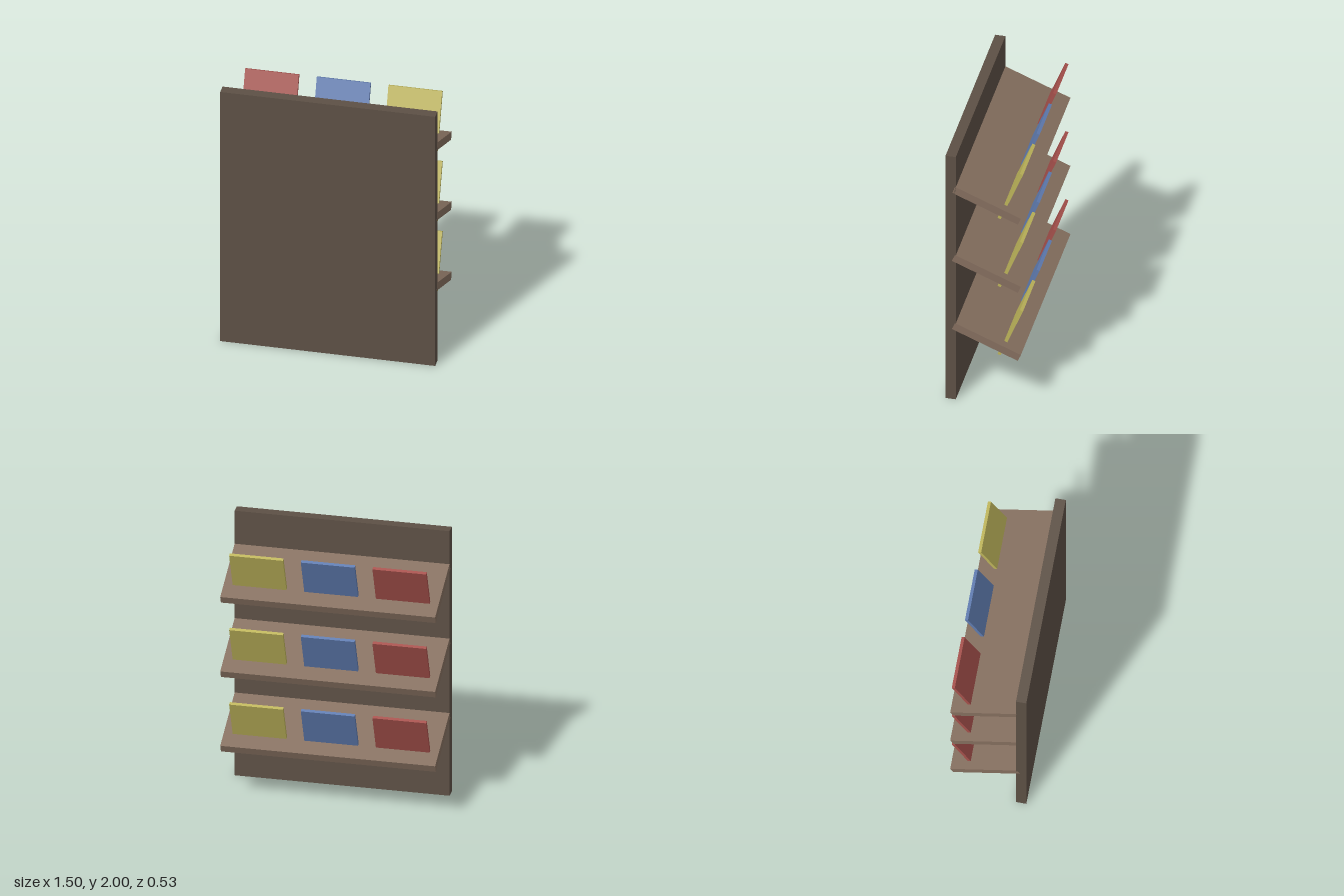
import * as THREE from 'three';

const mat = (color) => new THREE.MeshStandardMaterial({ color });

function addBox(parent, name, size, pos, material, tilt = 0) {
  const mesh = new THREE.Mesh(new THREE.BoxGeometry(...size), material);
  mesh.name = name;
  mesh.position.set(...pos);
  mesh.rotation.x = tilt;
  parent.add(mesh);
  return mesh;
}

export function createModel() {
  const group = new THREE.Group();
  group.name = 'displayRack';
  const panelMat = mat(0x5d5045);
  const shelfMat = mat(0x846e5e);
  const books = [
    ['redBook', -0.5, mat(0xa5504b)],
    ['blueBook', 0, mat(0x5f7bb0)],
    ['yellowBook', 0.5, mat(0xbdb45a)],
  ];

  // Upright panel that carries the shelves
  addBox(group, 'panel', [1.5, 2, 0.072], [0, 1, 0.229], panelMat);

  // Three sloping shelves, each with three leaning books that pass through it
  for (let i = 0; i < 3; i++) {
    const tier = new THREE.Group();
    tier.name = 'shelfTier';
    tier.position.y = i * 0.5625;
    addBox(tier, 'shelf', [1.5, 0.056, 0.5], [0, 0.506, -0.021], shelfMat, -0.395);
    for (const [name, x, material] of books) {
      addBox(tier, name, [0.375, 0.418, 0.023], [x, 0.565, -0.174], material, -0.385);
    }
    group.add(tier);
  }
  return group;
}
